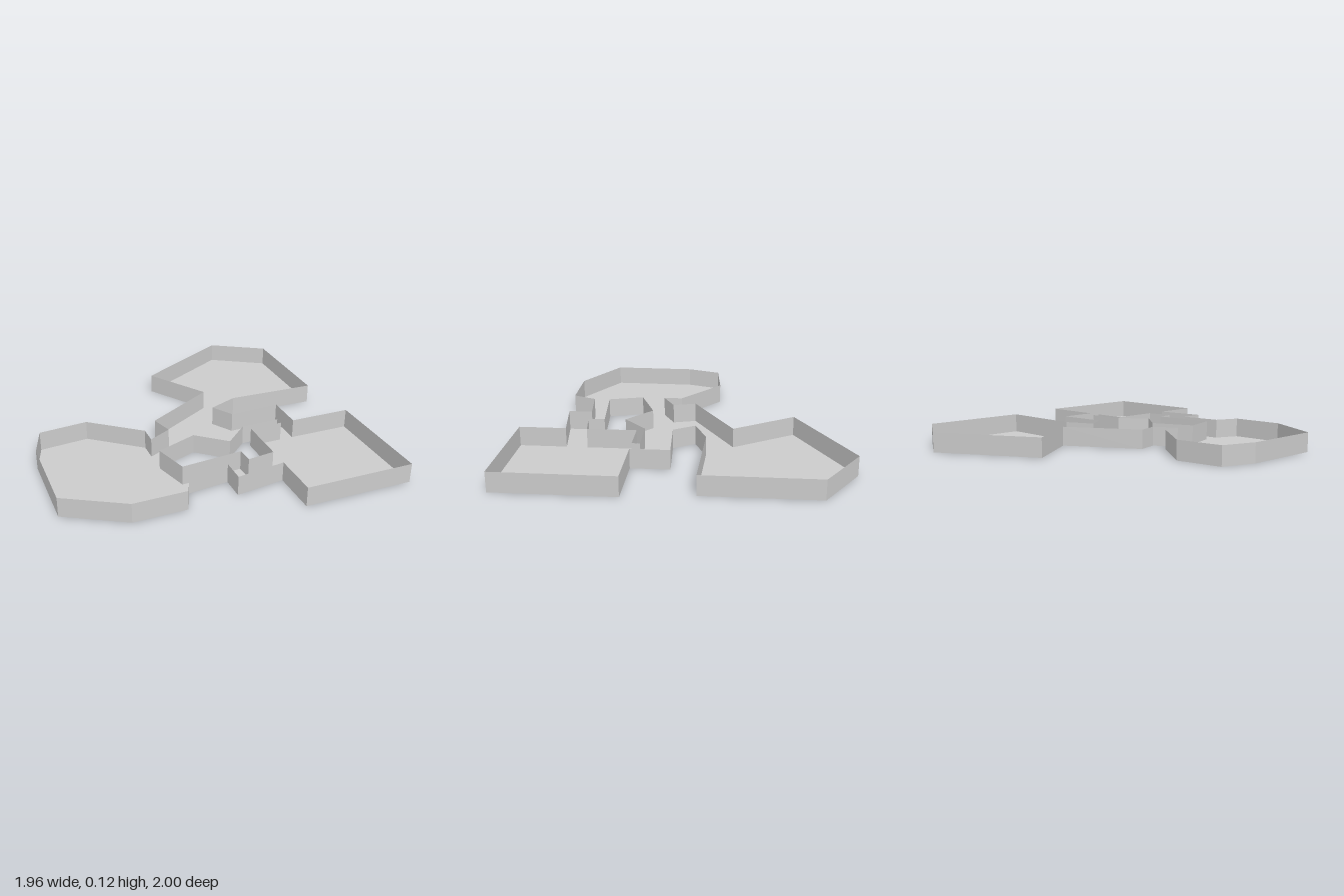
import * as THREE from 'three';

const HEIGHT = 0.12;

// Plan corners as [x, z]
const pentagonRoom = [[0.235, -0.29], [-0.005, -0.66], [0.6, -1], [0.93, -0.8], [0.93, -0.12], [0.38, -0.135]];
const eastPassage = [[0.2, -0.06], [0.28, 0.07], [0.6, 0.052], [0.6, 0.285]];
const squareRoom = [[0.98, 0.285], [0.98, 1], [0.308, 1], [0.308, 0.715]];
const southPassage = [[0.005, 0.76], [0.005, 0.615], [-0.245, 0.645]];
const roundRoom = [[-0.305, 0.79], [-0.63, 0.795], [-0.983, 0.593], [-0.978, 0.07], [-0.908, -0.142], [-0.608, -0.172], [-0.305, 0.07]];
const westPassage = [[-0.305, 0.185], [-0.165, 0.11], [-0.205, -0.03]];
const outline = [...pentagonRoom, ...eastPassage, ...squareRoom, ...southPassage, ...roundRoom, ...westPassage];

// Open courtyard enclosed by the rooms and passages
const courtyard = [
  [-0.305, 0.33], [-0.05, 0.23], [0.125, 0.38], [0.275, 0.24], [0.515, 0.235], [0.515, 0.285],
  [0.308, 0.285], [0.308, 0.587], [0.14, 0.61], [0.135, 0.51], [-0.245, 0.545],
];

const toVectors = (loop) => loop.map(([x, z]) => new THREE.Vector2(x, z));

// Thin upright panels along a closed loop
function wallGeometry(loop) {
  const positions = [];
  loop.forEach(([x0, z0], i) => {
    const [x1, z1] = loop[(i + 1) % loop.length];
    positions.push(
      x0, 0, z0, x0, HEIGHT, z0, x1, HEIGHT, z1,
      x0, 0, z0, x1, HEIGHT, z1, x1, 0, z1,
    );
  });
  const geometry = new THREE.BufferGeometry();
  geometry.setAttribute('position', new THREE.Float32BufferAttribute(positions, 3));
  geometry.computeVertexNormals();
  return geometry;
}

export function createModel() {
  const group = new THREE.Group();
  group.name = 'floorPlan';
  const material = new THREE.MeshStandardMaterial({ color: 0xcccccc, flatShading: true, side: THREE.DoubleSide });
  const add = (name, geometry) => {
    const mesh = new THREE.Mesh(geometry, material);
    mesh.name = name;
    group.add(mesh);
  };

  // Floor with the courtyard cut out
  const shape = new THREE.Shape(toVectors(outline));
  shape.holes.push(new THREE.Path(toVectors(courtyard)));
  add('floor', new THREE.ShapeGeometry(shape).rotateX(Math.PI / 2));

  // Walls around the outside and the courtyard
  add('outerWalls', wallGeometry(outline));
  add('courtyardWalls', wallGeometry([...courtyard].reverse()));

  return group;
}
